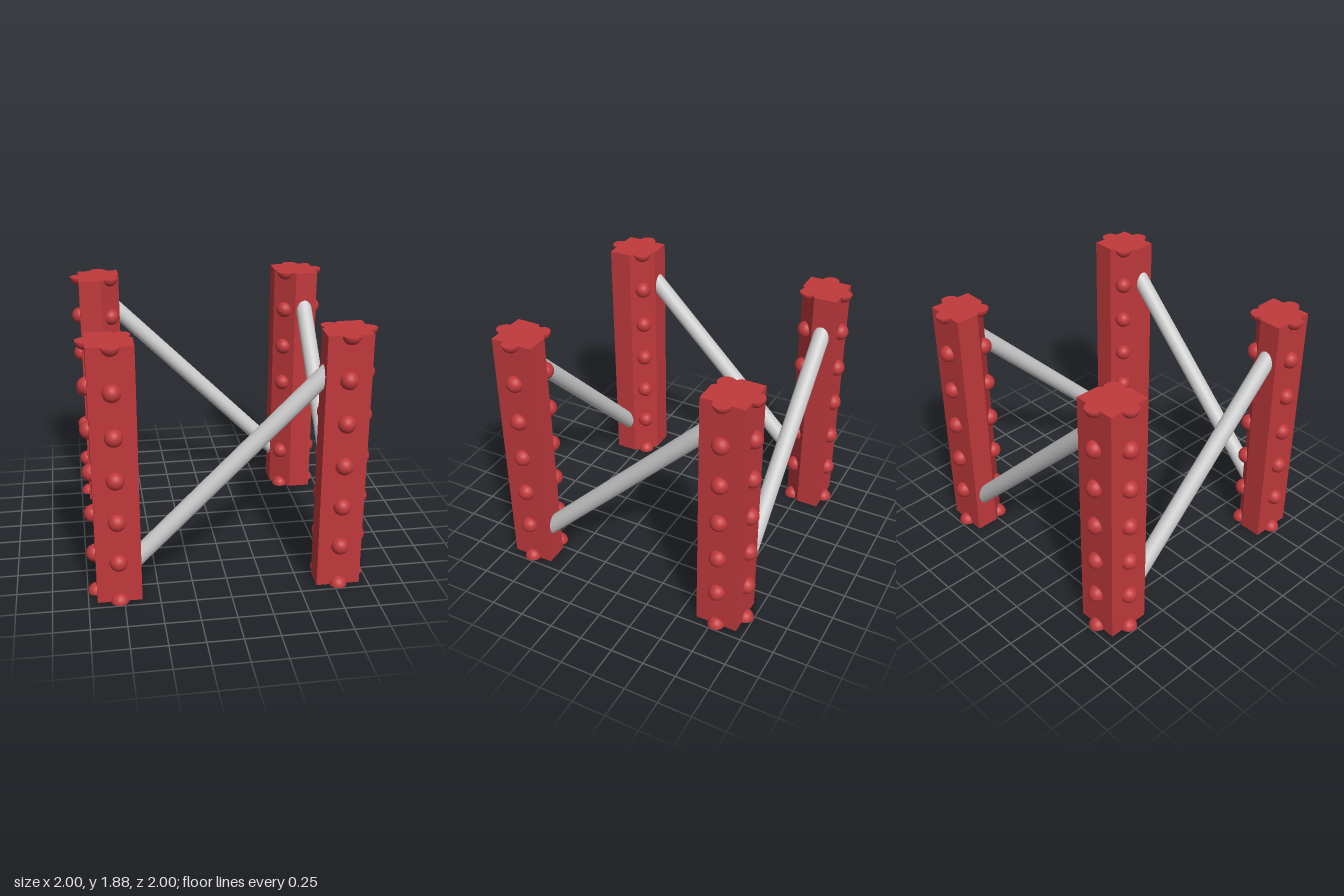
import * as THREE from 'three';

const HEIGHT = 1.875, OUTER = 0.9375, INNER = 0.625, CHAMFER = 0.145;
const PITCH = 0.3125, R = 0.0625;
const MID = (OUTER + INNER) / 2;

// Square post at +x, -z with its inner corner cut off
function postGeometry() {
  const c = INNER + CHAMFER;
  const shape = new THREE.Shape([
    [c, INNER], [OUTER, INNER], [OUTER, OUTER], [INNER, OUTER], [INNER, c],
  ].map(([x, y]) => new THREE.Vector2(x, y)));
  return new THREE.ExtrudeGeometry(shape, { depth: HEIGHT, bevelEnabled: false }).rotateX(-Math.PI / 2);
}

export function createModel() {
  const model = new THREE.Group();
  const red = new THREE.MeshStandardMaterial({ color: 0xc0393c });
  const grey = new THREE.MeshStandardMaterial({ color: 0xcccccc });

  const post = postGeometry();
  const ball = new THREE.SphereGeometry(R, 28, 18);
  const lowHalf = new THREE.SphereGeometry(R, 28, 9, 0, Math.PI * 2, Math.PI / 2, Math.PI / 2);
  const highHalf = new THREE.SphereGeometry(R, 28, 9, 0, Math.PI * 2, 0, Math.PI / 2);
  const topDisc = new THREE.CircleGeometry(R, 28).rotateX(-Math.PI / 2);
  const bottomDisc = new THREE.CircleGeometry(R, 28).rotateX(Math.PI / 2);
  const rod = new THREE.CylinderGeometry(R, R, 2 * 0.72 * Math.SQRT2, 32).rotateZ(-Math.PI / 4);

  const add = (parent, name, geometry, material, x = 0, y = 0, z = 0) => {
    const mesh = new THREE.Mesh(geometry, material);
    mesh.name = name;
    mesh.position.set(x, y, z);
    parent.add(mesh);
  };

  // Stud columns: two outer faces and the cut inner corner
  const cut = INNER + CHAMFER / 2;
  const studColumns = [[OUTER, -MID], [MID, -OUTER], [cut, -cut]];

  // Each side is the same post and brace turned a quarter
  for (let i = 0; i < 4; i++) {
    const side = new THREE.Group();
    side.name = 'side' + (i + 1);
    side.rotation.y = i * Math.PI / 2;

    add(side, 'post', post, red);
    add(side, 'diagonalBrace', rod, grey, 0, HEIGHT / 2, MID + R);

    const studs = new THREE.Group();
    studs.name = 'studs';
    for (const [x, z] of studColumns) {
      for (let k = 1; k < 6; k++) add(studs, 'stud', ball, red, x, k * PITCH, z);
      // Halved studs flush with the post ends
      add(studs, 'bottomStud', highHalf, red, x, 0, z);
      add(studs, 'bottomStudFace', bottomDisc, red, x, 0, z);
      add(studs, 'topStud', lowHalf, red, x, HEIGHT, z);
      add(studs, 'topStudFace', topDisc, red, x, HEIGHT, z);
    }
    side.add(studs);
    model.add(side);
  }
  return model;
}
